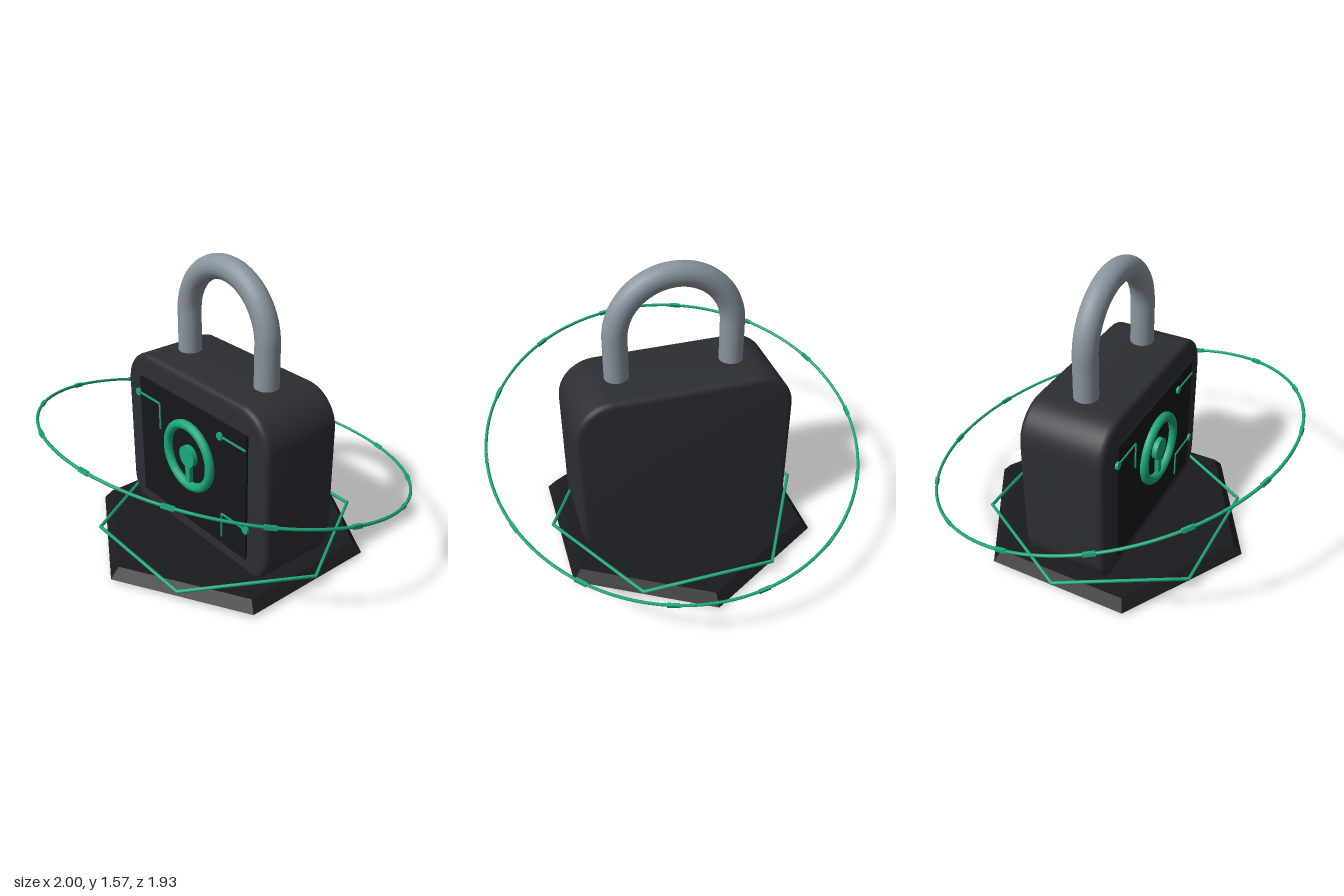
import * as THREE from 'three';
import { toCreasedNormals } from 'three/addons/utils/BufferGeometryUtils.js';

const paint = (color) => new THREE.MeshStandardMaterial({ color });

export function createModel() {
  const model = new THREE.Group();
  const dark = paint(0x2b2e33), black = paint(0x15171a), baseMat = paint(0x191b1e);
  const steel = paint(0x8a949e), green = paint(0x1aa87a);

  const add = (name, geometry, material, x = 0, y = 0, z = 0, parent = model) => {
    const mesh = new THREE.Mesh(geometry, material);
    mesh.name = name;
    mesh.position.set(x, y, z);
    parent.add(mesh);
    return mesh;
  };

  // Hexagonal plinth with a glowing hexagonal outline turned by 30 degrees
  const plinth = new THREE.CylinderGeometry(0.715, 0.765, 0.055, 6);
  add('base', toCreasedNormals(plinth, 0.3), baseMat, 0, 0.0475, 0);
  add('baseOutline', new THREE.TorusGeometry(0.698, 0.01, 8, 6).rotateX(Math.PI / 2), green, 0, 0.08, 0);

  // Lock body: rounded rectangle with a soft bevel
  const bevel = 0.03, w = 0.57 - bevel, h = 0.4925 - bevel, r = 0.17;
  const outline = new THREE.Shape();
  outline.absarc(w - r, h - r, r, 0, Math.PI / 2);
  outline.absarc(r - w, h - r, r, Math.PI / 2, Math.PI);
  outline.absarc(r - w, r - h, r, Math.PI, Math.PI * 1.5);
  outline.absarc(w - r, r - h, r, Math.PI * 1.5, Math.PI * 2);
  const depth = 0.46 - 2 * bevel;
  const body = new THREE.ExtrudeGeometry(outline, {
    depth, bevelEnabled: true, bevelSize: bevel, bevelThickness: bevel, bevelSegments: 4, curveSegments: 12,
  });
  body.translate(0, 0, -depth / 2);
  add('body', toCreasedNormals(body, 0.6), dark, 0, 0.4925, 0);

  // Shackle: half ring on two straight legs
  const shackle = new THREE.Group();
  shackle.name = 'shackle';
  model.add(shackle);
  add('shackleArch', new THREE.TorusGeometry(0.3025, 0.063, 20, 40, Math.PI), steel, 0, 1.205, 0, shackle);
  for (const side of [-1, 1]) {
    add('shackleLeg', new THREE.CylinderGeometry(0.063, 0.063, 0.3, 24), steel, side * 0.3025, 1.055, 0, shackle);
  }

  // Front panel with keyhole
  add('frontPanel', new THREE.BoxGeometry(0.87, 0.705, 0.03), black, 0, 0.4975, 0.228);
  add('keyholeRing', new THREE.TorusGeometry(0.175, 0.025, 14, 48), green, 0, 0.555, 0.255);
  add('keyholeDisc', new THREE.CylinderGeometry(0.06, 0.06, 0.03, 28).rotateX(Math.PI / 2), green, 0, 0.555, 0.255);
  add('keyholeSlot', new THREE.BoxGeometry(0.036, 0.17, 0.024), green, 0, 0.44, 0.253);

  // Circuit traces: a node, a horizontal run and an optional drop
  const traces = [
    { x: -0.445, y: 0.755, run: 0.19, drop: 0.15 },
    { x: 0.245, y: 0.775, run: 0.19, drop: 0 },
    { x: 0.44, y: 0.33, run: -0.185, drop: 0.14 },
  ];
  for (const { x, y, run, drop } of traces) {
    const trace = new THREE.Group();
    trace.name = 'circuitTrace';
    model.add(trace);
    add('traceNode', new THREE.CylinderGeometry(0.021, 0.021, 0.014, 16).rotateX(Math.PI / 2), green, x, y, 0.247, trace);
    add('traceRun', new THREE.BoxGeometry(Math.abs(run), 0.01, 0.008), green, x + run / 2, y, 0.245, trace);
    if (drop) add('traceDrop', new THREE.BoxGeometry(0.01, drop, 0.008), green, x + run, y - drop / 2, 0.245, trace);
  }

  // Orbit ring, raised at the front, with small dashes along it
  const orbit = new THREE.Group();
  orbit.name = 'orbit';
  orbit.position.y = 0.555;
  orbit.rotation.x = -Math.PI / 12;
  model.add(orbit);
  const R = 0.99, dashes = 14;
  add('orbitRing', new THREE.TorusGeometry(R, 0.008, 8, 120).rotateX(Math.PI / 2), green, 0, 0, 0, orbit);
  for (let i = 0; i < dashes; i++) {
    const a = 0.155 + (i / dashes) * Math.PI * 2;
    const dash = add('orbitDash', new THREE.BoxGeometry(0.06, 0.02, 0.016), green, R * Math.sin(a), 0, R * Math.cos(a), orbit);
    dash.rotation.y = a;
  }

  return model;
}
